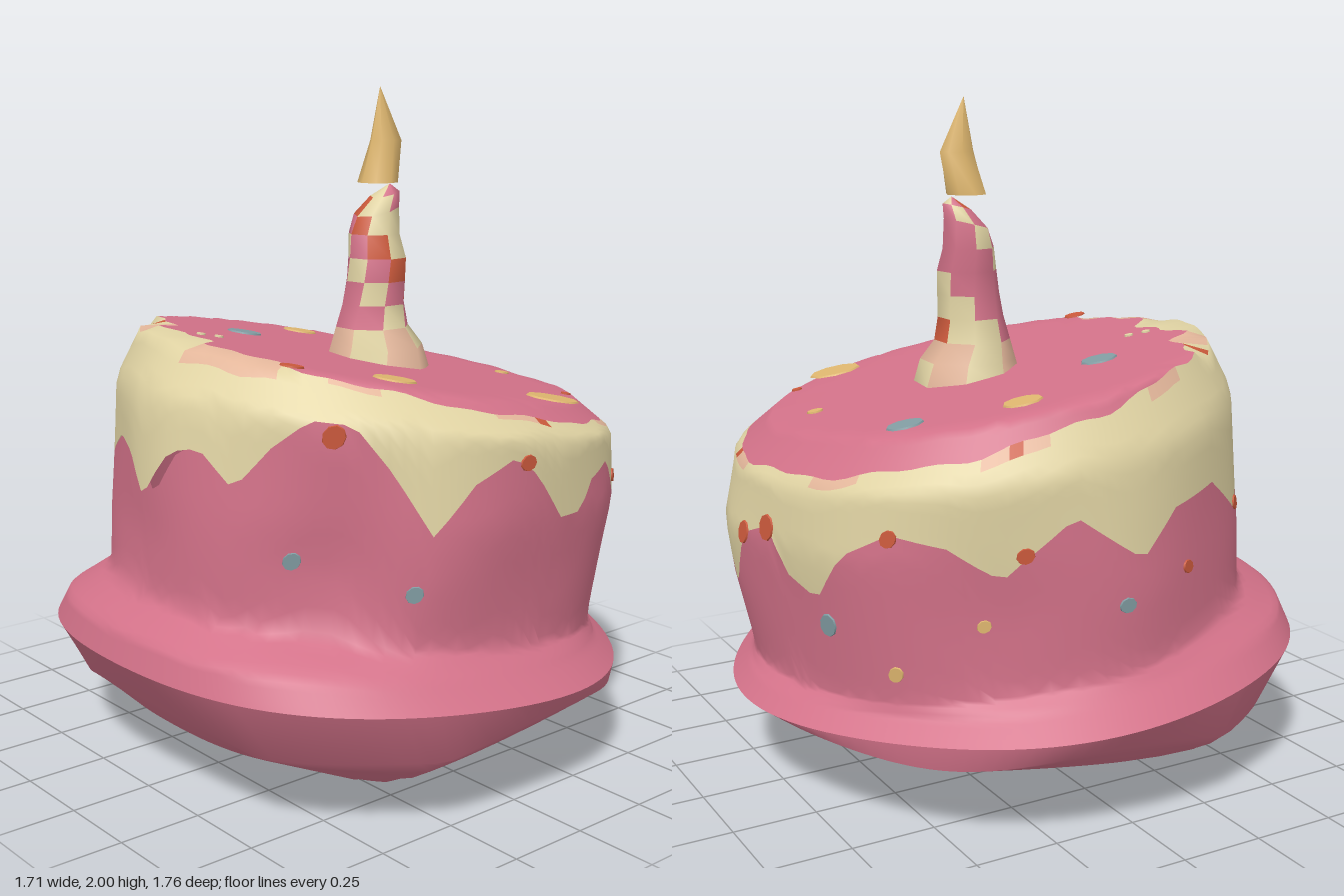
import * as THREE from 'three';

const paint = (name, color) => {
  const m = new THREE.MeshStandardMaterial({ color, side: THREE.DoubleSide });
  m.name = name;
  return m;
};
const TAU = Math.PI * 2;
const lerp = THREE.MathUtils.lerp;

// Closed loft: pos(angle, t) gives a point; pick(i, j) optionally gives a material index per cell
function loft(n, rows, pos, pick) {
  const verts = [], cells = [];
  for (let j = 0; j <= rows; j++)
    for (let i = 0; i < n; i++) verts.push(...pos((i / n) * TAU, j / rows).toArray());
  for (let j = 0; j < rows; j++)
    for (let i = 0; i < n; i++) {
      const k = (i + 1) % n, a = j * n + i, b = a + n, c = j * n + k, d = c + n;
      cells.push({ m: pick ? pick(i, j) : 0, f: [a, c, b, c, d, b] });
    }
  cells.sort((p, q) => p.m - q.m);
  const g = new THREE.BufferGeometry();
  g.setAttribute('position', new THREE.Float32BufferAttribute(verts, 3));
  g.setIndex(cells.flatMap((c) => c.f));
  for (let s = 0, e = 0; pick && s < cells.length; s = e) {
    while (e < cells.length && cells[e].m === cells[s].m) e++;
    g.addGroup(s * 6, (e - s) * 6, cells[s].m);
  }
  g.computeVertexNormals();
  return g;
}

// Sloping underside height at a point
function under(x, z) {
  const d = x + 0.3, b = 0.45 * Math.abs(z) ** 3;
  return d > 0 ? Math.hypot(0.245 * d, b) : b - 0.474 * d + 0.8 * Math.max(0, -d - 0.38);
}

// Cake cross-sections from top centre to rim: centre, radii, height, slopes along x and z
const RINGS = [
  { cx: 0.1, cz: 0, rx: 0, rz: 0, y: 1.195, tx: -0.18, tz: -0.06 },
  { cx: 0.05, cz: 0, rx: 0.65, rz: 0.66, y: 1.195, tx: -0.18, tz: -0.06 },
  { cx: 0.06, cz: 0.015, rx: 0.75, rz: 0.765, y: 1.06, tx: -0.14, tz: 0 },
  { cx: 0.06, cz: 0.02, rx: 0.77, rz: 0.77, y: 0.82, tx: -0.06, tz: 0 },
  { cx: 0.02, cz: 0, rx: 0.74, rz: 0.75, y: 0.47, tx: -0.14, tz: 0 },
  { cx: -0.01, cz: 0, rx: 0.82, rz: 0.81, y: 0.41, tx: -0.1, tz: 0 },
  { cx: 0, cz: 0, rx: 0.855, rz: 0.88, y: 0.345, tx: -0.075, tz: 0 },
];
function ringPoint(r, a) {
  const x = r.cx + r.rx * Math.cos(a), z = r.cz + r.rz * Math.sin(a);
  return new THREE.Vector3(x, r.y + r.tx * x + r.tz * z, z);
}
function surface(a, s) {
  const k = Math.min(Math.floor(s), RINGS.length - 2);
  const p = ringPoint(RINGS[k], a).lerp(ringPoint(RINGS[k + 1], a), s - k);
  // gentle lumps and a dent on the sides, uneven rim
  const lumps = 0.014 * Math.sin(3 * a + 1) + 0.012 * Math.sin(7 * a) - 0.05 * Math.exp(-(((a - 2.35) / 0.22) ** 2));
  const w = Math.max(0, 1 - Math.abs(s - 3.4) / 1.3) * lumps
    - THREE.MathUtils.clamp(s - 4, 0, 1) * 0.05 * Math.cos(a) * Math.sin(2 * a) ** 2;
  p.x += w * Math.cos(a);
  p.z += w * Math.sin(a);
  return p;
}
// Surface parameter where the side reaches a given height
function levelAt(a, y) {
  let lo = 1.6, hi = 4;
  for (let i = 0; i < 24; i++) {
    const mid = (lo + hi) / 2;
    if (surface(a, mid).y > y) lo = mid; else hi = mid;
  }
  return lo;
}

// Lower edge of the icing: angle in degrees, height
const DRIPS = [
  [0, 0.78], [11, 0.57], [22, 0.82], [36, 0.77], [50, 0.74], [62, 0.93], [72, 0.9], [77, 0.82], [84, 0.82],
  [92, 0.96], [98, 1.02], [108, 0.96], [117, 0.83], [125, 1.0], [133, 1.13], [142, 1.14], [150, 1.06], [158, 0.94],
  [166, 1.04], [173, 1.02], [182, 0.87], [190, 0.98], [200, 1.0], [212, 0.92], [225, 0.8], [240, 0.93], [255, 0.9],
  [265, 0.78], [280, 0.92], [295, 0.75], [306, 0.84], [318, 0.87], [328, 0.8], [337, 0.65], [345, 0.7],
  [350, 0.83], [360, 0.78],
];
function dripEdge(a) {
  const d = (a * 360) / TAU;
  const k = Math.max(1, DRIPS.findIndex((p) => p[0] >= d));
  const [d0, y0] = DRIPS[k - 1], [d1, y1] = DRIPS[k];
  return levelAt(a, lerp(y0, y1, (d - d0) / (d1 - d0)));
}
const icingTop = (a) =>
  1.33 + 0.46 * Math.cos(a) + 0.1 * Math.sin(a) + 0.04 * Math.sin(11 * a) + 0.03 * Math.sin(23 * a);

export function createModel() {
  const group = new THREE.Group();
  const pink = paint('pink sponge', 0xd37289);
  const cream = paint('cream icing', 0xe1d4a4);
  const gold = paint('gold', 0xdfb76f);
  const brown = paint('brown underside', 0xcb5d31);
  const orange = paint('orange', 0xcc5a3c);
  const blue = paint('grey blue', 0x829da3);
  const peach = paint('peach', 0xe4b79b);
  const add = (name, geo, mat) => {
    const mesh = new THREE.Mesh(geo, mat);
    mesh.name = name;
    group.add(mesh);
    return mesh;
  };

  // Cake body in bands that share their edges
  const N = 120;
  const band = (name, mat, rows, s0, s1) =>
    add(name, loft(N, rows, (a, t) => surface(a, lerp(s0(a), s1(a), t))), mat);
  band('cakeTop', pink, 12, () => 0, icingTop);
  band('cakeSide', pink, 18, dripEdge, () => 6);

  // Icing: flares out on one side, with peach and orange flecks along its top edge
  add('icing', loft(N, 8, (a, t) => {
    const p = surface(a, lerp(icingTop(a), dripEdge(a), t));
    p.x -= 0.04 * t * Math.exp(-(((a - 3.15) / 0.25) ** 2));
    return p;
  }, (i, j) => {
    if (i >= 50 && i < 59) return j < 2 ? 1 : 0;
    if (j > 0) return 0;
    if (i % 23 === 5) return 2;
    return Math.sin(i * 0.47) > 0.55 ? 1 : 0;
  }), [cream, peach, orange]);

  // Sloping underside with a brown patch
  const patchEdge = (a, k) => {
    const w = k * (1 + 0.04 * Math.sin(5 * a));
    const x = 0.44 + 0.35 * w * Math.cos(a), z = 0.02 + 0.5 * w * Math.sin(a);
    return new THREE.Vector3(x, under(x, z), z);
  };
  add('underside', loft(N, 10, (a, t) => {
    const p = surface(a, 6).lerp(patchEdge(a, 1), t);
    if (t > 0) p.y = Math.min(under(p.x, p.z), lerp(p.y, 0.36 - 0.075 * p.x, 0.5));
    if (t === 1) p.y = under(p.x, p.z);
    return p;
  }), pink);
  add('undersidePatch', loft(N, 4, (a, t) => patchEdge(a, 1 - t)), brown);

  // Sprinkles: thin discs lying on the surface
  const disc = (name, mat, p, normal, r) => {
    const m = add(name, new THREE.CylinderGeometry(r, r * 1.05, 0.005, 9), mat);
    m.position.copy(p).addScaledVector(normal, 0.004);
    m.quaternion.setFromUnitVectors(new THREE.Vector3(0, 1, 0), normal);
    m.scale.z = 0.85;
  };
  const up = new THREE.Vector3(0.18, 1, 0.06).normalize();
  [
    [0.21, -0.49, 0.057, gold], [0.5, -0.35, 0.053, blue], [-0.16, -0.3, 0.055, blue], [-0.2, 0.45, 0.065, gold],
    [0.3, 0.58, 0.082, gold], [0.57, 0.11, 0.024, gold], [-0.43, -0.15, 0.014, cream], [-0.38, -0.13, 0.014, cream],
    [-0.49, 0.36, 0.035, orange], [0.48, 0.47, 0.016, orange],
  ].forEach(([x, z, r, mat]) =>
    disc('topSprinkle', mat, new THREE.Vector3(x, 1.195 - 0.18 * x - 0.06 * z, z), up, r));

  // Side sprinkles and orange flecks: angle in degrees, height, radius
  [
    [145, 0.75, 0.027, blue], [119, 0.67, 0.026, blue], [28, 0.71, 0.03, blue], [335, 0.58, 0.034, blue],
    [320, 0.47, 0.024, gold], [300, 0.62, 0.02, gold], [270, 0.66, 0.025, blue], [95, 1.0, 0.026, orange],
    [137, 1.1, 0.035, orange], [55, 0.86, 0.022, orange], [0, 0.78, 0.033, orange], [351, 0.82, 0.038, orange],
    [225, 0.82, 0.024, orange], [252, 0.72, 0.022, orange], [290, 0.82, 0.025, orange], [318, 0.86, 0.026, orange],
  ].forEach(([deg, y, r, mat]) => {
    const a = (deg / 360) * TAU, s = levelAt(a, y);
    const p = surface(a, s);
    const across = surface(a + 0.05, s).sub(p), down = surface(a, s + 0.05).sub(p);
    disc('sideSprinkle', mat, p, across.cross(down).normalize(), r);
  });

  // Candle: leaning column with flared foot and spiral stripes; rows are x, y, z, radius
  const stack = [
    [0.1, 1.15, 0.03, 0.165], [0.1, 1.22, 0.03, 0.145], [0.09, 1.28, 0.02, 0.115], [0.095, 1.35, 0.02, 0.1],
    [0.1, 1.42, 0.025, 0.095], [0.105, 1.49, 0.025, 0.092], [0.11, 1.56, 0.005, 0.08],
    [0.115, 1.63, 0.01, 0.07], [0.14, 1.68, 0.02, 0.045], [0.155, 1.71, 0.025, 0],
  ].reverse();
  add('candle', loft(8, 9, (a, t) => {
    const j = Math.round(t * 9), [x, y, z, r] = stack[j];
    const b = a + 0.06 * j;
    // lean the upper collar towards the wick
    const lift = y > 1.6 ? 0.25 * r * Math.cos(b) : 0;
    return new THREE.Vector3(x + r * Math.cos(b), y + lift, z + r * Math.sin(b));
  }, (i, j) =>
    j >= 7 ? [3, 3, 2, 3, 3, 2, 3, 2][(i + 3 * j) % 8] : [0, 0, 0, 2, 2, 1, 0, 2][(i + j) % 8]),
  [pink, orange, cream, peach]);

  // Flame: open, bent teardrop above the candle; rows are x, y, z, radii along x and z
  const flameRows = [[0.11, 2.0, 0.03, 0, 0], [0.134, 1.84, 0.03, 0.056, 0.037], [0.105, 1.715, 0.026, 0.062, 0.061]];
  add('flame', loft(8, 2, (a, t) => {
    const [x, y, z, rx, rz] = flameRows[Math.round(t * 2)];
    return new THREE.Vector3(x + rx * Math.cos(a), y, z + rz * Math.sin(a));
  }), gold);

  return group;
}
